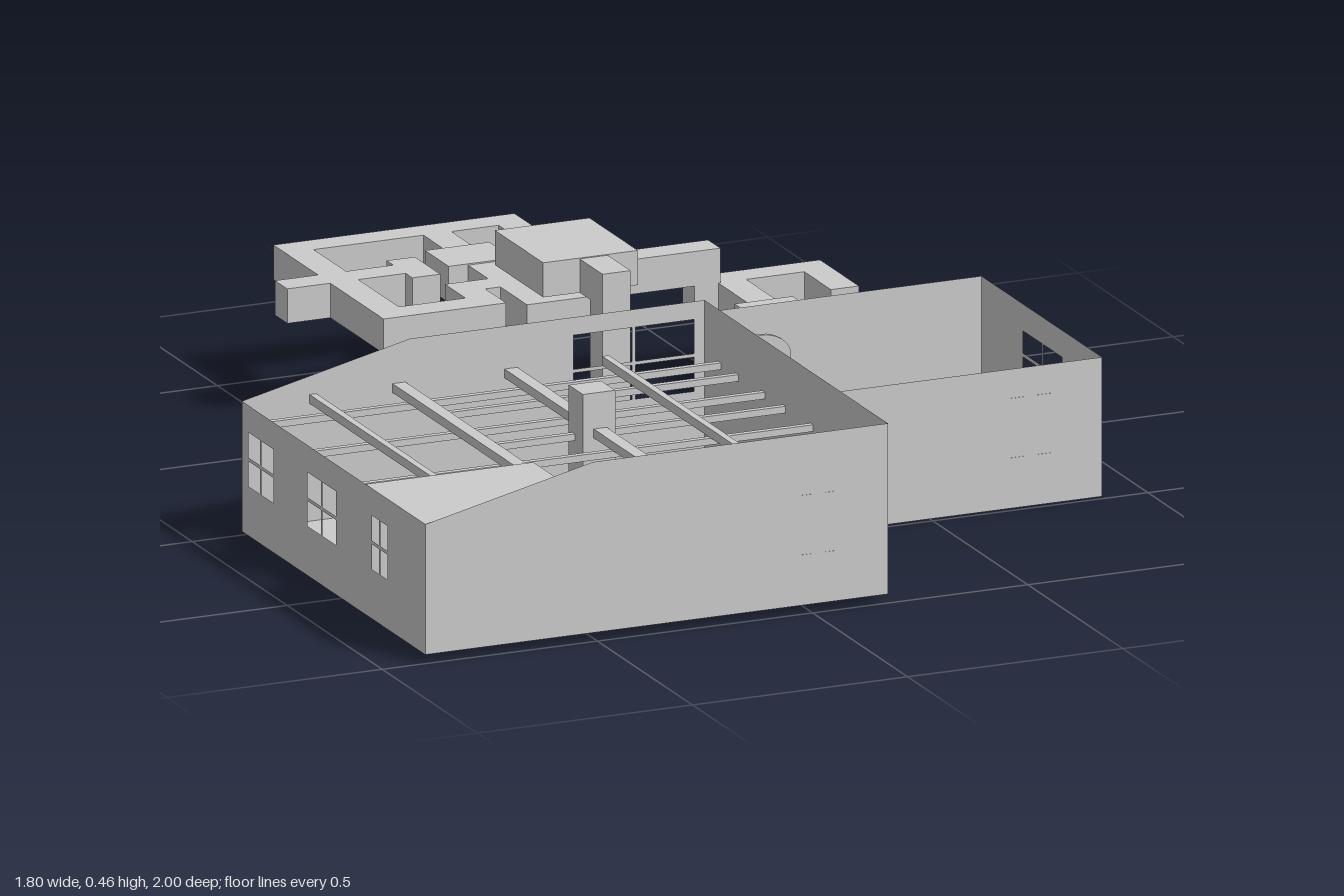
import * as THREE from 'three';

const mat = new THREE.MeshStandardMaterial({ color: 0xcccccc, flatShading: true, side: THREE.DoubleSide });

export function createModel() {
  const root = new THREE.Group();

  const add = (name, geo, parent = root) => {
    const m = new THREE.Mesh(geo, mat);
    m.name = name;
    parent.add(m);
    return m;
  };
  const group = (name) => {
    const g = new THREE.Group();
    g.name = name;
    root.add(g);
    return g;
  };
  // Box given by its limits on each axis
  const box = (name, x0, x1, y0, y1, z0, z1, parent) => add(name,
    new THREE.BoxGeometry(x1 - x0, y1 - y0, z1 - z0)
      .translate((x0 + x1) / 2, (y0 + y1) / 2, (z0 + z1) / 2), parent);
  const path = (C, pts) => new C(pts.map((p) => new THREE.Vector2(...p)));
  const rect = ([a, b, c, d]) => [[a, c], [b, c], [b, d], [a, d]];
  // Thin wall across x (axis 'z') or along z (axis 'x') with rectangular openings
  const wall = (name, axis, at, pts, holes = [], parent) => {
    const shape = path(THREE.Shape, pts);
    holes.forEach((h) => shape.holes.push(path(THREE.Path, rect(h).reverse())));
    const geo = new THREE.ShapeGeometry(shape);
    if (axis === 'x') geo.rotateY(-Math.PI / 2).translate(at, 0, 0);
    else geo.translate(0, 0, at);
    return add(name, geo, parent);
  };
  // Four panes left open by a cross of glazing bars
  const panes = ([a, b, c, d], t = 0.004) => {
    const u = (a + b) / 2, v = (c + d) / 2;
    return [[a, u - t, c, v - t], [u + t, b, c, v - t], [a, u - t, v + t, d], [u + t, b, v + t, d]];
  };
  // Flush door with four thin panels, on both faces of a front wall
  const door = (x0, x1, y0, y1, z, parent) => {
    const g = new THREE.Group();
    g.name = 'door';
    parent.add(g);
    box('doorLeaf', x0, x1, y0, y1, z - 0.004, z, g);
    const w = (x1 - x0) / 2, h = (y1 - y0) / 2;
    for (let i = 0; i < 2; i++) for (let j = 0; j < 2; j++)
      box('doorPanel', x0 + i * w + 0.015, x0 + (i + 1) * w - 0.015,
        y0 + j * h + 0.03, y0 + (j + 1) * h - 0.03, z - 0.007, z + 0.001, g);
  };
  // Low bed with head and foot boards
  const bed = (x0, x1, z0, z1, y) => {
    const g = group('bed');
    for (const x of [x0, x1 - 0.008]) box('bedRail', x, x + 0.008, y + 0.025, y + 0.05, z0, z1, g);
    box('mattress', x0 + 0.008, x1 - 0.008, y + 0.025, y + 0.055, z0 + 0.008, z1 - 0.008, g);
    box('footboard', x0, x1, y, y + 0.07, z0, z0 + 0.008, g);
    box('headboard', x0, x1, y, y + 0.1, z1 - 0.008, z1, g);
  };

  // Large hall: open top, sloped shoulder on its right side
  const hall = group('hall');
  const gable = [[-0.9, 0.02], [0.175, 0.02], [0.175, 0.4], [-0.51, 0.4], [-0.9, 0.31]];
  wall('frontWall', 'z', 1, gable, [], hall);
  wall('backWall', 'z', 0.035, gable, panes([-0.13, 0.15, 0.2, 0.36]), hall);
  wall('leftWall', 'x', 0.175, rect([0.035, 1, 0.02, 0.4]), [], hall);
  wall('rightWall', 'x', -0.9, rect([0.035, 1, 0.02, 0.31]),
    [[0.07, 0.2], [0.38, 0.53], [0.72, 0.8]].flatMap((z) => panes([...z, 0.13, 0.25])), hall);
  box('floor', -0.9, 0.175, 0.02, 0.023, 0.035, 1, hall);
  door(-0.04, 0.07, 0.03, 0.295, 1, hall);

  // Closed corner room with an ajar door
  wall('cornerRoomSide', 'x', -0.51, rect([0.685, 1, 0.023, 0.31]), [[0.785, 0.91, 0.024, 0.29]], hall);
  wall('cornerRoomBack', 'z', 0.685, rect([-0.9, -0.51, 0.023, 0.31]), [], hall);
  box('cornerRoomCeiling', -0.9, -0.51, 0.307, 0.31, 0.685, 1, hall);
  const ajar = box('ajarDoor', 0, 0.127, 0.024, 0.29, -0.003, 0.003, hall);
  ajar.position.set(-0.51, 0, 0.91);
  ajar.rotation.y = Math.PI / 4;

  // Roof beams, long ones over the cross ones, and the central post
  const beams = group('roofBeams');
  for (const [x, w, z1] of [[-0.735, 0.016, 0.685], [-0.535, 0.03, 0.685], [-0.275, 0.03, 1], [-0.055, 0.016, 1]])
    box('longBeam', x - w / 2, x + w / 2, 0.285, 0.305, 0.035, z1, beams);
  for (const z of [0.115, 0.207, 0.345, 0.455, 0.6, 0.757, 0.897]) {
    const full = [0.115, 0.345, 0.6].includes(z);
    box('crossBeam', full ? -0.9 : -0.51, 0.175, 0.27, 0.285, z - 0.007, z + 0.007, beams);
  }
  box('post', -0.315, -0.24, 0.015, 0.385, 0.43, 0.505, hall);
  bed(-0.78, -0.635, 0.44, 0.665, 0.023);

  // Small room
  const small = group('smallRoom');
  const sideways = rect([-0.15, 0.485, 0, 0.31]), across = rect([0.285, 0.9, 0, 0.31]);
  wall('smallRoomLeft', 'x', 0.9, sideways, panes([0.07, 0.275, 0.143, 0.25]), small);
  wall('smallRoomRight', 'x', 0.285, sideways, [], small);
  wall('smallRoomFront', 'z', 0.485, across, [], small);
  wall('smallRoomBack', 'z', -0.15, across, [[0.69, 0.745, 0.005, 0.075]], small);
  box('smallRoomFloor', 0.285, 0.9, 0, 0.003, -0.15, 0.485, small);
  door(0.67, 0.795, 0.01, 0.275, 0.485, small);
  bed(0.32, 0.455, 0.255, 0.47, 0.003);

  // Dressing table with an arched mirror
  const table = group('dressingTable');
  box('tableTop', 0.295, 0.46, 0.09, 0.105, -0.14, -0.06, table);
  box('drawer', 0.305, 0.45, 0.07, 0.09, -0.135, -0.065, table);
  for (const x of [0.3, 0.443]) for (const z of [-0.137, -0.075])
    box('tableLeg', x, x + 0.012, 0.003, 0.09, z, z + 0.012, table);
  const arch = path(THREE.Shape, [[-0.07, 0.105], [0.07, 0.105], [0.07, 0.2]]);
  arch.absellipse(0, 0.2, 0.07, 0.05, 0, Math.PI, false);
  add('mirror', new THREE.ExtrudeGeometry(arch, { depth: 0.01, bevelEnabled: false, curveSegments: 6 })
    .translate(0.378, 0, -0.138), table);

  // Tunnels: [x0, x1, y0, y1, z0, z1]
  const tunnels = {
    hallTunnel: [ // out of the hall, up a shaft and into the upper chamber
      [-0.02, 0.045, 0.02, 0.095, -0.125, 0.035],
      [-0.02, 0.045, 0.095, 0.455, -0.125, -0.06],
      [-0.02, 0.045, 0.38, 0.455, -0.18, -0.125],
      [-0.105, 0.115, 0.38, 0.457, -0.435, -0.18]],
    stepTunnel: [ // rising in steps from the small room
      [0.685, 0.75, 0, 0.08, -0.39, -0.15],
      [0.685, 0.75, 0.08, 0.15, -0.487, -0.358],
      [0.685, 0.75, 0.15, 0.22, -0.595, -0.455],
      [0.43, 0.75, 0.15, 0.22, -0.66, -0.595],
      [0.19, 0.49, 0.22, 0.297, -0.66, -0.595],
      [0.485, 0.55, 0.15, 0.22, -0.595, -0.43],
      [0.45, 0.585, 0.15, 0.225, -0.43, -0.365]],
    mazeTunnel: [ // ring of passages with a spine, side arm and two small chambers
      [-0.37, 0.19, 0.22, 0.297, -1, -0.935],
      [-0.37, -0.305, 0.22, 0.297, -0.935, -0.42],
      [0.125, 0.19, 0.22, 0.297, -0.935, -0.39],
      [-0.305, -0.085, 0.22, 0.297, -0.487, -0.42],
      [-0.15, -0.085, 0.22, 0.297, -0.53, -0.487],
      [-0.15, -0.05, 0.22, 0.297, -0.595, -0.53],
      [-0.05, 0.015, 0.22, 0.297, -0.935, -0.39],
      [0.015, 0.125, 0.22, 0.297, -0.46, -0.39],
      [-0.095, 0.055, 0.219, 0.3, -0.825, -0.7],
      [-0.47, -0.37, 0.22, 0.297, -0.765, -0.7],
      [-0.305, -0.195, 0.22, 0.297, -0.765, -0.7],
      [-0.195, -0.13, 0.22, 0.297, -0.8, -0.665]],
  };
  for (const [name, parts] of Object.entries(tunnels)) {
    const g = group(name);
    parts.forEach((p) => box('passage', ...p, g));
  }
  return root;
}
